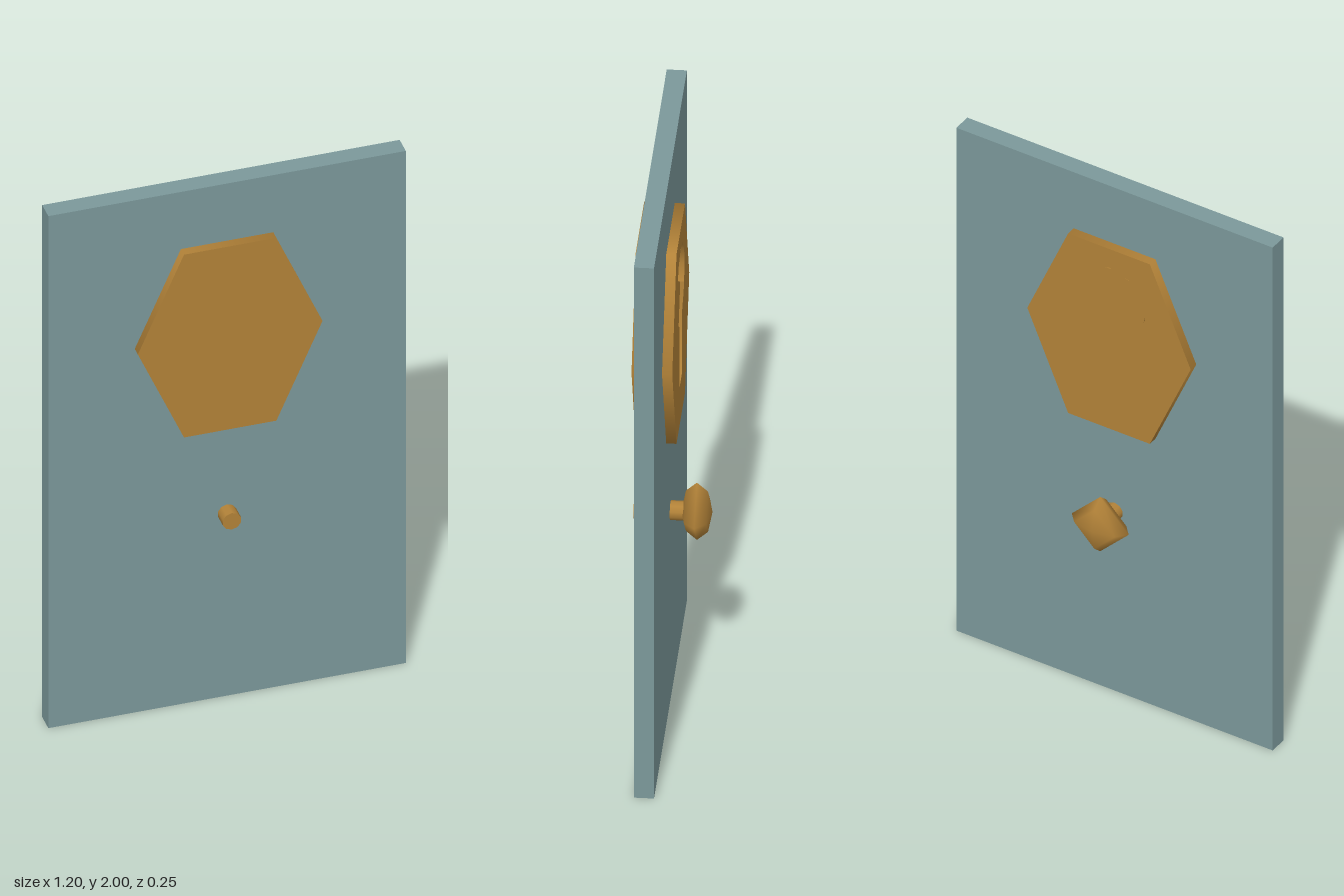
import * as THREE from 'three';

export function createModel() {
  const model = new THREE.Group();
  const slate = new THREE.MeshStandardMaterial({ name: 'slateBlue', color: 0x7b989a });
  const brass = new THREE.MeshStandardMaterial({ name: 'brass', color: 0xb28238, side: THREE.DoubleSide });

  const add = (name, geometry, material, x, y, z) => {
    const mesh = new THREE.Mesh(geometry, material);
    mesh.name = name;
    mesh.position.set(x, y, z);
    model.add(mesh);
    return mesh;
  };

  // Door slab
  add('doorPanel', new THREE.BoxGeometry(1.2, 2, 0.065), slate, 0, 1, 0.0425);

  // Tall hexagonal plates on both faces
  const hexY = 1.42, hexRadius = 0.31, hexHalfHeight = 0.357;
  const stretch = hexHalfHeight / (hexRadius * Math.sin(Math.PI / 3));
  const hexPrism = (depth, open) =>
    new THREE.CylinderGeometry(hexRadius, hexRadius, depth, 6, 1, open, Math.PI / 2)
      .rotateX(Math.PI / 2).scale(1, stretch, 1);
  const hexShape = () => new THREE.Shape(Array.from({ length: 6 }, (_, i) => {
    const a = i * Math.PI / 3;
    return new THREE.Vector2(hexRadius * Math.cos(a), hexRadius * stretch * Math.sin(a));
  }));
  add('frontPlate', hexPrism(0.034, false), brass, 0, hexY, 0.091);
  add('backPlateRim', hexPrism(0.034, true), brass, 0, hexY, -0.006);

  // Keyhole outline: round head above a straight slot
  const headY = 0.145, headRadius = 0.138, slotHalf = 0.043, slotBottom = -0.215;
  const gap = Math.asin(slotHalf / headRadius);
  const keyhole = [new THREE.Vector2(-slotHalf, slotBottom), new THREE.Vector2(slotHalf, slotBottom)];
  for (let i = 0; i <= 10; i++) {
    const a = -Math.PI / 2 + gap + (i / 10) * (2 * Math.PI - 2 * gap);
    keyhole.push(new THREE.Vector2(headRadius * Math.cos(a), headY + headRadius * Math.sin(a)));
  }
  const pierced = hexShape();
  pierced.holes.push(new THREE.Path(keyhole));
  add('backPlateFace', new THREE.ShapeGeometry(pierced).rotateY(Math.PI), brass, 0, hexY, -0.023);
  add('keyholeFloor', new THREE.ShapeGeometry(hexShape()).rotateY(Math.PI), brass, 0, hexY, 0.005);

  // Lip inside the keyhole's upper curve
  const lip = new THREE.CylinderGeometry(headRadius, headRadius, 0.028, 5, 1, true, Math.PI * 0.9, Math.PI * 0.75);
  add('keyholeLip', lip.rotateX(Math.PI / 2), brass, 0, hexY + headY, -0.009);

  // Spindle through the door, with a faceted knob on the back
  add('spindle', new THREE.CylinderGeometry(0.032, 0.032, 0.175, 10).rotateX(Math.PI / 2), brass, 0, 0.715, 0.039);
  const knob = new THREE.SphereGeometry(0.108, 4, 4).rotateX(Math.PI / 2).scale(1, 1, 0.05 / 0.108);
  add('knob', knob, brass, 0, 0.715, -0.075);

  return model;
}
